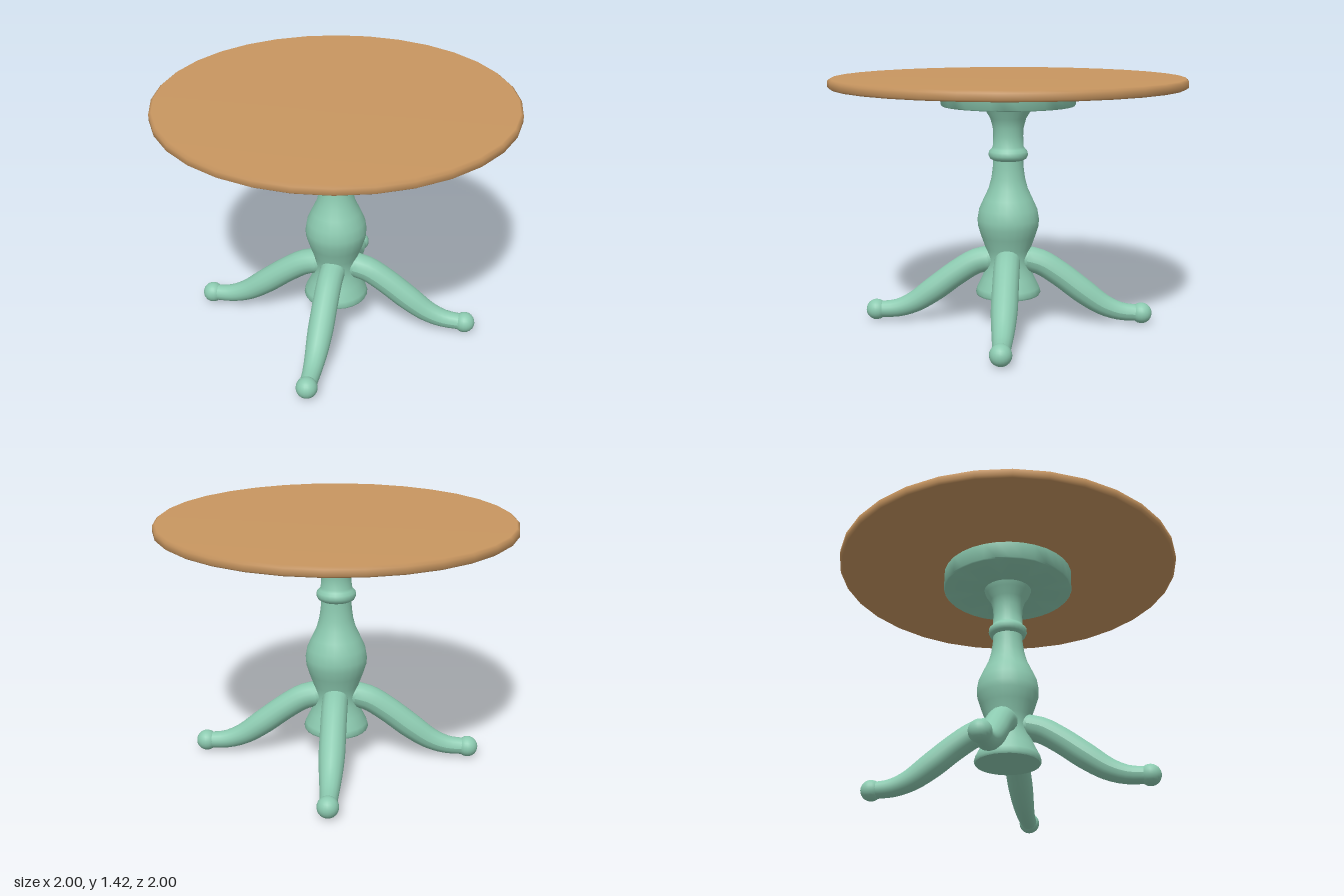
import * as THREE from 'three';
import { toCreasedNormals } from 'three/addons/utils/BufferGeometryUtils.js';

const wood = new THREE.MeshStandardMaterial({ color: 0xc89660 });
wood.name = 'wood';
const paint = new THREE.MeshStandardMaterial({ color: 0x8ccab0 });
paint.name = 'greenPaint';

function add(parent, name, geometry, material) {
  const mesh = new THREE.Mesh(geometry, material);
  mesh.name = name;
  parent.add(mesh);
  return mesh;
}

// Profile points are [radius, height], listed from bottom to top
const lathe = (points, sides) =>
  new THREE.LatheGeometry(points.map(([r, y]) => new THREE.Vector2(r, y)), sides);

// Tube whose radius follows a function of the distance along the curve (0..1)
function taperedTube(curve, radiusAt, segments, sides) {
  const geometry = new THREE.TubeGeometry(curve, segments, 1, sides);
  const pos = geometry.attributes.position;
  const v = new THREE.Vector3();
  for (let i = 0; i < pos.count; i++) {
    const t = Math.floor(i / (sides + 1)) / segments;
    const centre = curve.getPointAt(t);
    v.fromBufferAttribute(pos, i).sub(centre).multiplyScalar(radiusAt(t)).add(centre);
    pos.setXYZ(i, v.x, v.y, v.z);
  }
  geometry.computeVertexNormals();
  return geometry;
}

// One splayed leg running out along +x, with a rounded shoulder and a ball foot
function makeLeg() {
  const leg = new THREE.Group();
  leg.name = 'leg';
  const path = new THREE.CatmullRomCurve3(
    [[0.11, 0.388], [0.19, 0.366], [0.3, 0.298], [0.43, 0.2], [0.55, 0.118], [0.65, 0.08], [0.76, 0.07]]
      .map(([x, y]) => new THREE.Vector3(x, y, 0)));
  const radius = (t) => 0.074 - 0.026 * THREE.MathUtils.smoothstep(t, 0.45, 1);
  add(leg, 'legShaft', taperedTube(path, radius, 20, 16), paint);
  add(leg, 'legShoulder', new THREE.SphereGeometry(0.074, 16, 12), paint).position.set(0.11, 0.388, 0);
  add(leg, 'foot', new THREE.SphereGeometry(0.06, 20, 14), paint).position.set(0.774, 0.07, 0);
  return leg;
}

export function createModel() {
  const table = new THREE.Group();
  table.name = 'roundPedestalTable';

  // Round top with softened rim
  add(table, 'tableTop', lathe([
    [0, 1.377], [0.985, 1.377], [1, 1.387], [1, 1.42], [0.985, 1.432], [0, 1.432],
  ], 32), wood);

  // Mounting disc under the top
  add(table, 'mountingDisc', toCreasedNormals(lathe([
    [0, 1.272], [0.374, 1.272], [0.38, 1.278], [0.38, 1.378], [0, 1.378],
  ], 32), 0.9), paint);

  // Turned column: flared base, waist, bulb, collar ring and flared neck
  add(table, 'column', toCreasedNormals(lathe([
    [0, 0.178], [0.182, 0.178], [0.188, 0.19], [0.18, 0.22], [0.15, 0.28],
    [0.128, 0.34], [0.12, 0.39], [0.13, 0.45], [0.155, 0.52], [0.174, 0.58],
    [0.177, 0.62], [0.167, 0.68], [0.14, 0.74], [0.112, 0.8], [0.096, 0.86],
    [0.088, 0.92], [0.086, 0.962], [0.104, 0.972], [0.112, 0.99], [0.11, 1.012],
    [0.096, 1.026], [0.088, 1.04], [0.085, 1.1], [0.088, 1.15], [0.102, 1.2],
    [0.13, 1.245], [0.142, 1.28],
  ], 24), 0.9), paint);

  // Four legs on the diagonals
  for (let i = 0; i < 4; i++) {
    const leg = makeLeg();
    leg.rotation.y = Math.PI / 4 + (i * Math.PI) / 2;
    table.add(leg);
  }
  return table;
}
